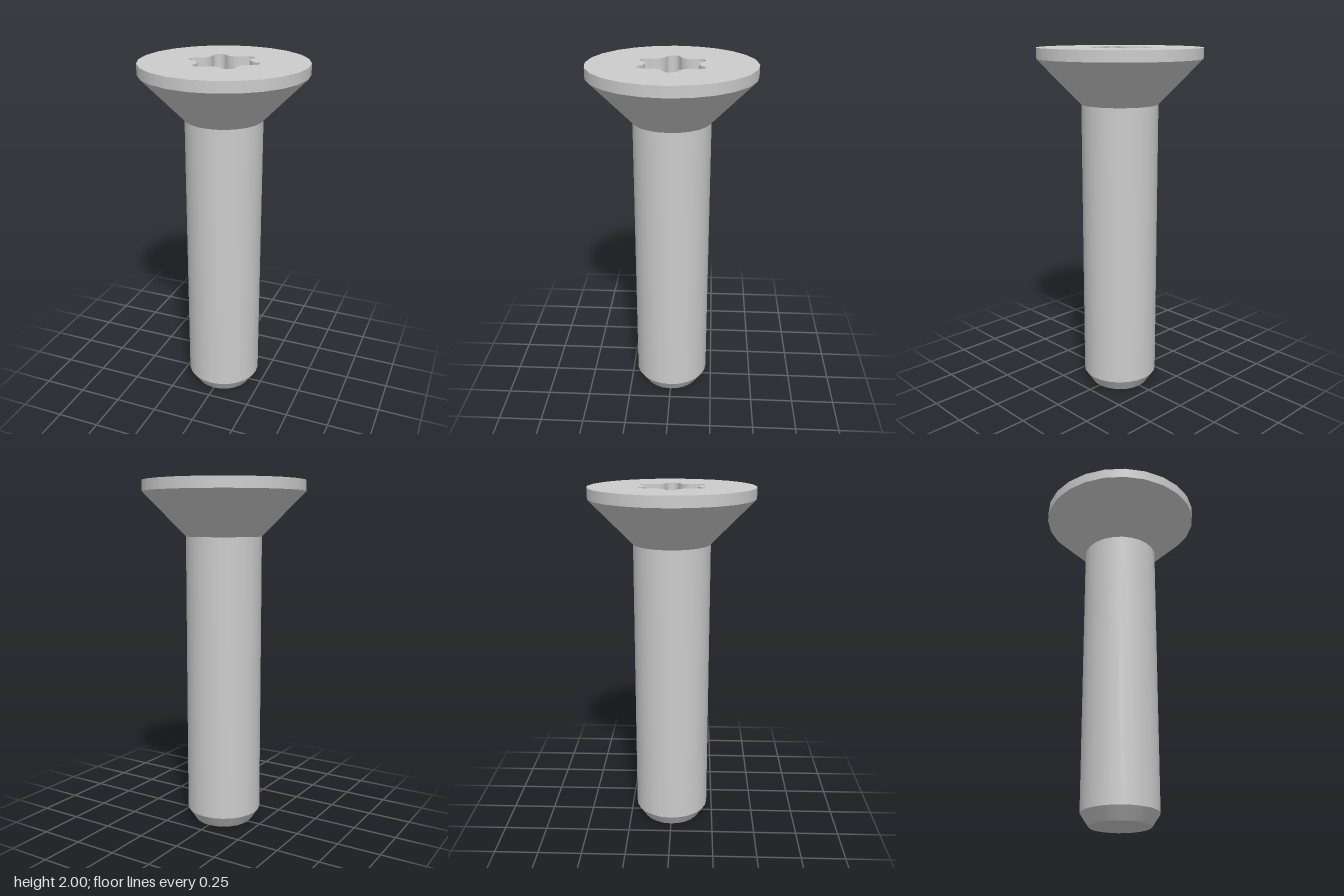
import * as THREE from 'three';

const SIDES = 24;
const TOP = 2;
const WALL_BOTTOM = 1.84, APEX = 1.75;

// Six-lobed outline: convex lobe arcs joined tangentially by concave valley arcs
function lobedOutline(tip = 0.2, valley = 0.142, r = 0.037) {
  const c = tip - r, k = Math.cos(Math.PI / 6);
  const R = (valley * valley + c * c - 2 * c * valley * k - r * r) / (2 * (r - valley + c * k));
  const d = valley + R;
  const a = Math.atan2(d / 2, d * k - c);
  const points = [];
  const arc = (dist, dir, radius, from, to, steps) => {
    for (let i = 0; i < steps; i++) {
      const t = from + (to - from) * i / steps;
      points.push(new THREE.Vector2(
        dist * Math.cos(dir) + radius * Math.cos(t),
        dist * Math.sin(dir) + radius * Math.sin(t)));
    }
  };
  for (let i = 0; i < 6; i++) {
    const dir = i * Math.PI / 3, mid = dir + Math.PI / 6;
    arc(c, dir, r, dir - a, dir + a, 10);
    arc(d, mid, R, dir + a + Math.PI, 2 * mid - dir - a + Math.PI, 10);
  }
  return points;
}

function indexed(positions, indices) {
  const g = new THREE.BufferGeometry();
  g.setAttribute('position', new THREE.Float32BufferAttribute(positions, 3));
  g.setIndex(indices);
  g.computeVertexNormals();
  return g;
}

export function createModel() {
  const screw = new THREE.Group();
  screw.name = 'screw';
  const steel = new THREE.MeshStandardMaterial({ color: 0xcccccc });
  steel.name = 'steel';

  const add = (name, geometry) => {
    const mesh = new THREE.Mesh(geometry, steel);
    mesh.name = name;
    screw.add(mesh);
    return mesh;
  };

  // Smooth bands of the body, with sharp edges between them
  const band = (name, r0, y0, r1, y1) => add(name, new THREE.LatheGeometry(
    [new THREE.Vector2(r0, y0), new THREE.Vector2(r1, y1)], SIDES));
  band('tipChamfer', 0.17, 0, 0.217, 0.07);
  band('shank', 0.217, 0.07, 0.217, 1.69);
  band('headCone', 0.217, 1.69, 0.463, 1.94);
  band('headRim', 0.463, 1.94, 0.463, TOP);

  // Flat end of the tip
  add('tipEnd', new THREE.CircleGeometry(0.17, SIDES).rotateX(Math.PI / 2));

  // Head face with the recess cut out
  const outline = lobedOutline();
  const face = new THREE.Shape(Array.from({ length: SIDES }, (_, i) => {
    const t = i / SIDES * Math.PI * 2;
    return new THREE.Vector2(0.463 * Math.cos(t), 0.463 * Math.sin(t));
  }));
  face.holes.push(new THREE.Path(outline));
  add('headFace', new THREE.ShapeGeometry(face).rotateX(-Math.PI / 2).translate(0, TOP, 0));

  // Recess walls face inward; the floor is a shallow cone
  const n = outline.length;
  const wall = [], wallIndex = [], floor = [], floorIndex = [];
  outline.forEach((p, i) => {
    const j = (i + 1) % n;
    wall.push(p.x, TOP, -p.y, p.x, WALL_BOTTOM, -p.y);
    wallIndex.push(2 * i, 2 * j, 2 * i + 1, 2 * j, 2 * j + 1, 2 * i + 1);
    floor.push(p.x, WALL_BOTTOM, -p.y);
    floorIndex.push(i, j, n);
  });
  floor.push(0, APEX, 0);
  add('recessWall', indexed(wall, wallIndex));
  add('recessFloor', indexed(floor, floorIndex));

  return screw;
}
